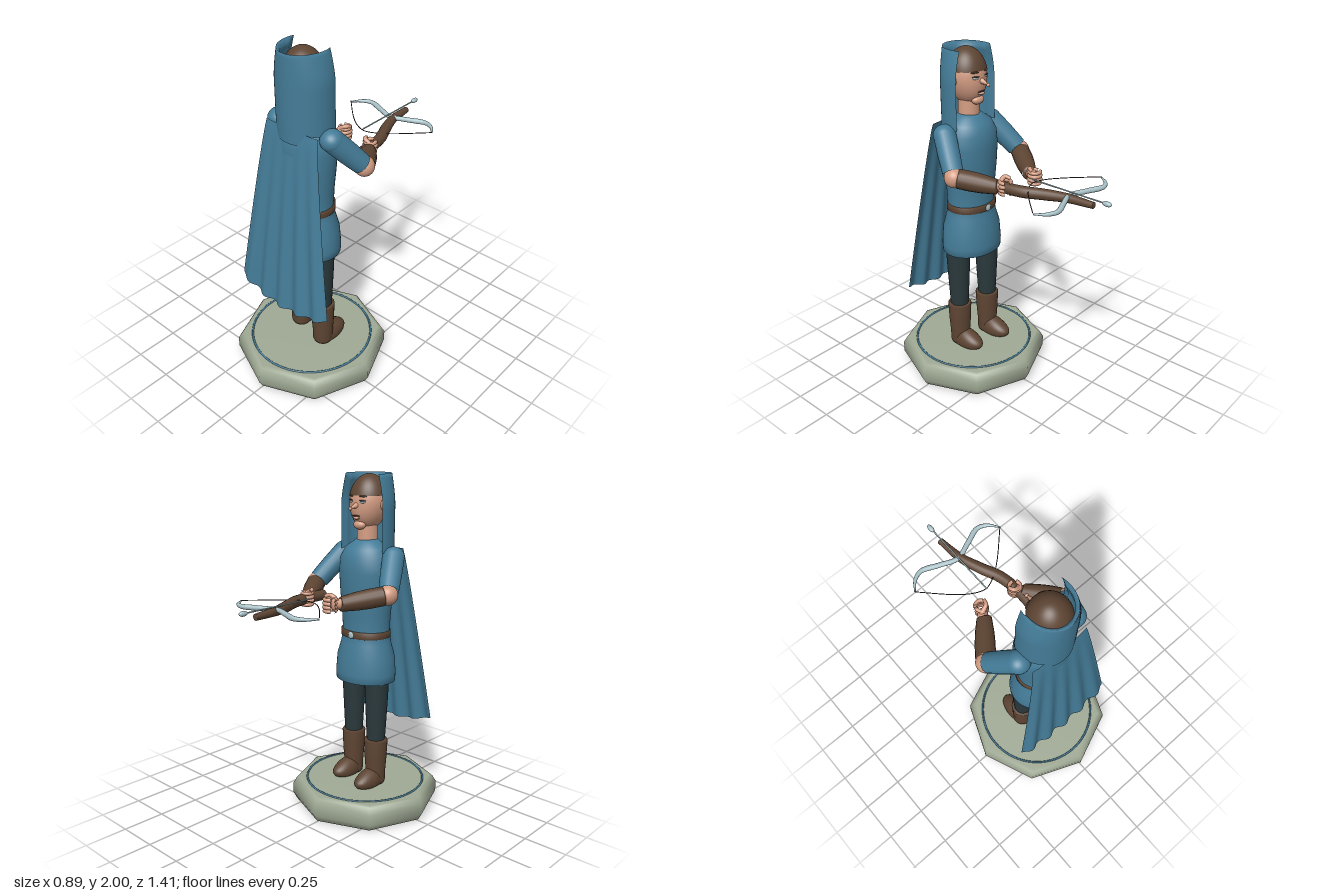
import * as THREE from 'three';

const mat = (name, color, side = THREE.FrontSide) => {
  const m = new THREE.MeshStandardMaterial({ color, side });
  m.name = name;
  return m;
};
const V = (x, y, z) => new THREE.Vector3(x, y, z);

export function createModel() {
  const blue = mat('blue cloth', 0x447c98, THREE.DoubleSide);
  const brown = mat('brown leather', 0x5e4533);
  const skin = mat('skin', 0xd39c82);
  const stone = mat('pale stone', 0xa0aa95);
  const dark = mat('dark trousers', 0x2a393c);
  const silver = mat('pale metal', 0xa9c2c8);
  const ink = mat('dark lines', 0x3a2f2a);

  const root = new THREE.Group();
  root.name = 'hoodedArcher';
  const add = (name, geo, material, x = 0, y = 0, z = 0, parent = root) => {
    const m = new THREE.Mesh(geo, material);
    m.name = name;
    m.position.set(x, y, z);
    parent.add(m);
    return m;
  };
  const lathe = (pts, seg = 40, sz = 1) =>
    new THREE.LatheGeometry(pts.map(p => new THREE.Vector2(...p)), seg).scale(1, 1, sz);
  const ball = (rx, ry, rz) => new THREE.SphereGeometry(1, 28, 20).scale(rx, ry, rz);

  // Tube whose radius follows a list spread evenly along the path
  const taper = (points, radii, seg = 32) => {
    const curve = new THREE.CatmullRomCurve3(points);
    const geo = new THREE.TubeGeometry(curve, seg, 1, 16);
    const p = geo.attributes.position, v = V(0, 0, 0);
    for (let i = 0; i < p.count; i++) {
      const u = Math.floor(i / 17) / seg;
      const t = u * (radii.length - 1), k = Math.min(Math.floor(t), radii.length - 2);
      const r = THREE.MathUtils.lerp(radii[k], radii[k + 1], t - k);
      const c = curve.getPointAt(u);
      v.fromBufferAttribute(p, i).sub(c).multiplyScalar(r).add(c);
      p.setXYZ(i, v.x, v.y, v.z);
    }
    return geo;
  };
  // Grid sheet shaped by a rule of u and v
  const sheet = (nu, nv, rule) => {
    const geo = new THREE.PlaneGeometry(1, 1, nu, nv);
    const p = geo.attributes.position;
    for (let i = 0; i < p.count; i++) p.setXYZ(i, ...rule(p.getX(i) + 0.5, p.getY(i) + 0.5));
    geo.computeVertexNormals();
    return geo;
  };

  // Octagonal plinth with inlaid ring
  add('plinth', lathe([[0, 0], [0.41, 0], [0.425, 0.005], [0.447, 0.045], [0.447, 0.11],
    [0.425, 0.147], [0.405, 0.155], [0, 0.155]], 8), stone, 0, 0, 0.255);
  add('plinthRing', new THREE.TorusGeometry(0.358, 0.006, 8, 72).rotateX(Math.PI / 2), blue, 0, 0.156, 0.255);

  // Legs and boots, one foot slightly ahead
  for (const s of [-1, 1]) {
    const z = s > 0 ? 0.268 : 0.232, x = s * 0.105;
    add('leg', lathe([[0.052, 0.4], [0.058, 0.5], [0.068, 0.7], [0.075, 0.88]], 28), dark, x, 0, z);
    add('bootShaft', lathe([[0, 0.157], [0.052, 0.157], [0.06, 0.18], [0.06, 0.24], [0.066, 0.32],
      [0.071, 0.435], [0.066, 0.443], [0, 0.443]], 28), brown, x, 0, z);
    const foot = ball(0.062, 0.085, 0.115), p = foot.attributes.position;
    for (let i = 0; i < p.count; i++) {
      const fz = p.getZ(i);
      p.setY(i, Math.max(-0.028, p.getY(i) * (0.85 + fz * 2.5)));
    }
    foot.computeVertexNormals();
    add('bootFoot', foot, brown, x, 0.187, z - 0.06);
  }

  // Tunic, belt and buckle
  add('tunic', lathe([[0, 0.82], [0.17, 0.8], [0.188, 0.803], [0.19, 0.85], [0.182, 0.95], [0.158, 1.03],
    [0.147, 1.09], [0.152, 1.2], [0.165, 1.33], [0.172, 1.45], [0.165, 1.53], [0.135, 1.585],
    [0.085, 1.62], [0.066, 1.635], [0, 1.635]], 48, 0.84), blue, 0, 0, 0.253);
  add('belt', lathe([[0.143, 1.066], [0.156, 1.07], [0.156, 1.106], [0.143, 1.11]], 48, 0.84), brown, 0, 0, 0.25);
  add('buckle', ball(0.02, 0.02, 0.008), silver, 0, 1.088, 0.119);

  // Neck, head and face
  add('neck', new THREE.CylinderGeometry(0.057, 0.062, 0.16, 28), skin, 0, 1.68, 0.255);
  const headGeo = ball(0.108, 0.15, 0.11), hp = headGeo.attributes.position;
  for (let i = 0; i < hp.count; i++) {
    const y = hp.getY(i);
    if (y < 0) hp.setX(i, hp.getX(i) * (1 + y * 0.8));
    if (y < 0 && hp.getZ(i) < 0) hp.setZ(i, hp.getZ(i) * (1 - y * 0.9));
  }
  headGeo.computeVertexNormals();
  add('head', headGeo, skin, 0, 1.835, 0.262);
  add('hair', new THREE.SphereGeometry(1, 36, 20, 0, Math.PI * 2, 0, 1.27).scale(0.117, 0.165, 0.118),
    brown, 0, 1.833, 0.267);
  add('nose', new THREE.ConeGeometry(0.022, 0.075, 16).rotateX(-Math.PI / 2 - 0.25), skin, 0, 1.822, 0.137);
  add('noseTip', ball(0.01, 0.01, 0.01), skin, 0, 1.813, 0.109);
  add('chin', ball(0.04, 0.026, 0.028), skin, 0, 1.718, 0.187);
  add('lowerLip', ball(0.024, 0.008, 0.012), skin, 0, 1.758, 0.159);
  add('mouth', ball(0.028, 0.004, 0.006), ink, 0, 1.77, 0.157);
  for (const s of [-1, 1]) {
    add('eye', ball(0.017, 0.007, 0.005), silver, s * 0.042, 1.848, 0.161).rotation.y = -s * 0.4;
    add('eyelid', ball(0.021, 0.004, 0.006), ink, s * 0.042, 1.855, 0.16).rotation.y = -s * 0.4;
    add('eyebrow', ball(0.024, 0.005, 0.006), brown, s * 0.044, 1.879, 0.164).rotation.y = -s * 0.4;
    add('ear', ball(0.012, 0.03, 0.02), skin, s * 0.108, 1.83, 0.262);
  }

  // Hood: open-fronted shell, outer wall folding over the rim to an inner wall
  add('hood', sheet(48, 40, (u, v) => {
    const a = (u - 0.5) * 3.8;
    const outer = v <= 0.5, h = outer ? v * 2 : (1 - v) * 2;
    const thick = outer ? 0 : 0.022 * Math.min(1, (1.9 - Math.abs(a)) * 4);
    const back = 1 - THREE.MathUtils.smoothstep(Math.abs(Math.sin(a)) + (Math.cos(a) < 0 ? 1 : 0), 0.4, 0.6);
    const low = 1.57 - 0.05 * back;
    const y = low + (2 - low) * h;
    const pinch = THREE.MathUtils.clamp((y - 1.83) / 0.17, 0, 1);
    const rx = 0.163 - 0.036 * pinch ** 1.5 - thick;
    return [Math.sin(a) * rx, y, 0.25 + Math.cos(a) * (0.15 - thick)];
  }), blue);

  // Pleated cape flaring from the shoulders
  add('cape', sheet(72, 30, (u, v) => {
    const t = 1 - v, c = u * 2 - 1;
    const hem = 0.5 + 0.065 * Math.abs(c) ** 2.2;
    const y = 1.585 + (hem - 1.585) * t;
    const z = 0.372 + 0.125 * t ** 0.8 + 0.013 * t * Math.cos(c * Math.PI * 5) - 0.012 * c * c;
    return [c * (0.178 + 0.152 * t), y, z];
  }), blue);

  // Arms with sleeves, bare elbows, bracers and curled hands
  for (const s of [-1, 1]) {
    const arm = new THREE.Group();
    arm.name = s > 0 ? 'leftSideArm' : 'rightSideArm';
    root.add(arm);
    const shoulder = V(s * 0.185, 1.545, 0.265), elbow = V(s * 0.275, 1.365, 0.115);
    const wrist = s > 0 ? V(0.15, 1.325, -0.07) : V(-0.118, 1.325, -0.085);
    const hand = s > 0 ? V(0.122, 1.328, -0.115) : V(-0.088, 1.328, -0.148);
    const at = (a, b, t) => a.clone().lerp(b, t);
    add('shoulder', ball(0.064, 0.06, 0.064), blue, ...shoulder, arm);
    add('sleeve', taper([shoulder, at(shoulder, elbow, 0.5), at(shoulder, elbow, 0.9)],
      [0.063, 0.062, 0.057]), blue, 0, 0, 0, arm);
    add('elbow', ball(0.054, 0.056, 0.056), skin, ...elbow, arm);
    const b0 = at(elbow, wrist, 0.12);
    add('bracer', taper([b0, at(b0, wrist, 0.5), wrist], [0.054, 0.055, 0.051, 0.042]), brown, 0, 0, 0, arm);
    add('bracerCap', ball(0.042, 0.042, 0.02), brown, ...wrist, arm).lookAt(hand);
    add('bracerElbowCap', ball(0.054, 0.054, 0.02), brown, ...b0, arm).lookAt(wrist);
    add('wrist', taper([at(elbow, wrist, 0.9), at(wrist, hand, 0.6)], [0.034, 0.027], 8), skin, 0, 0, 0, arm);
    add('palm', ball(0.024, 0.042, 0.024), skin, ...at(wrist, hand, 0.55), arm);
    for (let f = 0; f < 4; f++) {
      add('finger', new THREE.TorusGeometry(0.033 - Math.abs(f - 1.5) * 0.002, 0.0105, 10, 28, 5.6)
        .rotateX(Math.PI / 2), skin, hand.x, hand.y - 0.034 + f * 0.021, hand.z, arm)
        .rotation.y = s > 0 ? 0.6 : 2.4;
    }
    add('thumb', taper([at(wrist, hand, 0.5).add(V(0, 0.03, 0)), hand.clone().add(V(-s * 0.02, 0.047, 0.02)),
      hand.clone().add(V(-s * 0.033, 0.04, -0.01))], [0.013, 0.012, 0.009], 12), skin, 0, 0, 0, arm);
  }

  // Crossbow: bent stock, recurved bow, string and bolt
  const bow = new THREE.Group();
  bow.name = 'crossbow';
  root.add(bow);
  const stock = [V(0.127, 1.325, 0.02), V(0.128, 1.325, -0.1), V(0.108, 1.325, -0.22), V(0.06, 1.325, -0.33),
    V(0.018, 1.325, -0.45), V(0, 1.323, -0.6)];
  add('stock', taper(stock, [0.03, 0.031, 0.032, 0.03, 0.024, 0.018], 40), brown, 0, 0, 0, bow);
  add('stockButt', ball(0.03, 0.03, 0.006), brown, 0.127, 1.325, 0.02, bow);
  add('stockNose', ball(0.018, 0.018, 0.004), brown, 0, 1.323, -0.6, bow);
  const limb = [[-0.3, -0.445], [-0.255, -0.5], [-0.2, -0.522], [-0.1, -0.485], [0, -0.45],
    [0.1, -0.485], [0.2, -0.522], [0.255, -0.5], [0.3, -0.445]];
  add('bowLimbs', taper(limb.map(([x, z]) => V(x, 1.335, z)), [0.004, 0.011, 0.015, 0.014, 0.013,
    0.014, 0.015, 0.011, 0.004], 64), silver, 0, 0, 0, bow);
  const string = [[-0.3, -0.445], [-0.15, -0.295], [-0.07, -0.235], [0, -0.21], [0.07, -0.235], [0.15, -0.295], [0.3, -0.445]];
  add('bowString', taper(string.map(([x, z]) => V(x, 1.34, z)), [0.0025, 0.0025], 40), ink, 0, 0, 0, bow);
  add('boltShaft', new THREE.CylinderGeometry(0.004, 0.004, 0.46, 10).rotateX(Math.PI / 2), silver, 0, 1.355, -0.43, bow);
  add('boltTip', ball(0.014, 0.014, 0.027), silver, 0, 1.355, -0.68, bow);

  return root;
}
